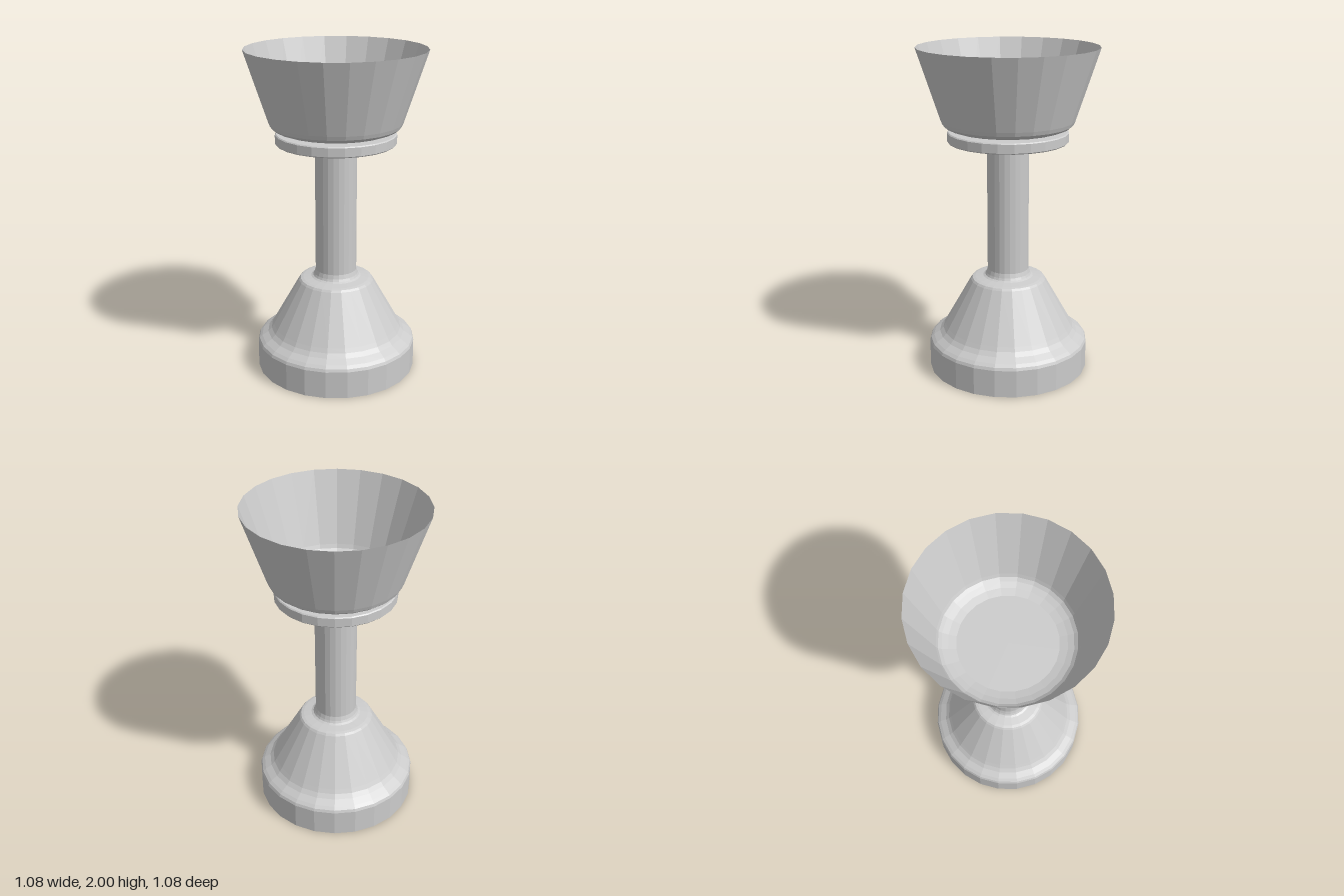
import * as THREE from 'three';

const SIDES = 24;

// Faceted turned part from a bottom-to-top [radius, height] profile
function turned(name, profile, side = THREE.FrontSide) {
  const points = profile.map(([r, y]) => new THREE.Vector2(r, y));
  const material = new THREE.MeshStandardMaterial({ color: 0xcccccc, flatShading: true, side });
  const mesh = new THREE.Mesh(new THREE.LatheGeometry(points, SIDES), material);
  mesh.name = name;
  return mesh;
}

export function createModel() {
  const group = new THREE.Group();
  group.name = 'goblet';

  // Flared foot with a flat underside and rounded shoulders
  group.add(turned('foot', [
    [0, 0], [0.495, 0], [0.495, 0.17], [0.488, 0.187], [0.47, 0.203],
    [0.432, 0.228], [0.41, 0.252], [0.395, 0.277],
    [0.232, 0.567], [0.222, 0.579], [0.205, 0.584],
    [0.155, 0.592], [0.142, 0.599], [0.135, 0.612],
  ]));

  // Slim stem, slightly flared where it meets the foot
  group.add(turned('stem', [
    [0.135, 0.612], [0.127, 0.638], [0.127, 1.42],
  ]));

  // Small collar under the plate
  group.add(turned('collar', [
    [0, 1.418], [0.222, 1.418], [0.235, 1.426], [0.235, 1.442],
  ]));

  // Plate carrying the cup
  group.add(turned('plate', [
    [0, 1.44], [0.358, 1.44], [0.364, 1.446], [0.364, 1.498], [0.358, 1.504], [0, 1.504],
  ]));

  // Thin open cup with a rounded bottom
  group.add(turned('cup', [
    [0, 1.509], [0.29, 1.509], [0.335, 1.519], [0.37, 1.532], [0.39, 1.548], [0.4, 1.572], [0.54, 2],
  ], THREE.DoubleSide));

  return group;
}
